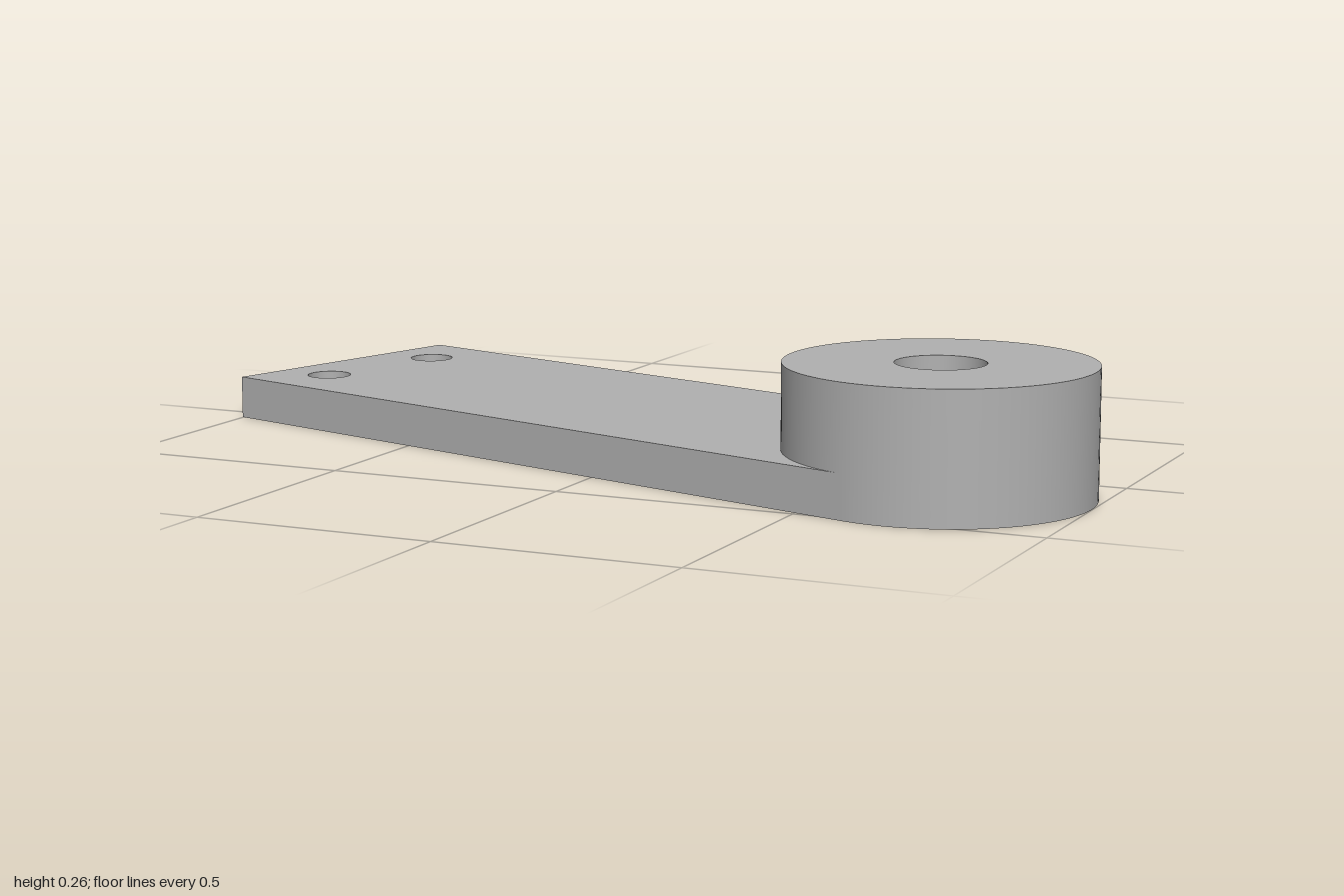
import * as THREE from 'three';
import { mergeGeometries } from 'three/addons/utils/BufferGeometryUtils.js';

const R = 0.307;       // boss radius, also half the arm width
const L = 1.675;       // boss centre to square end
const T = 0.09;        // arm thickness
const H = 0.262;       // boss height
const HOLE = 0.047, SINK = 0.107; // screw hole and countersink radii
const HOLE_X = -1.552, HOLE_Z = 0.159;

// Turned surface with a sharp edge at every profile point
function turned(profile, segments) {
  const bands = [];
  for (let i = 0; i < profile.length - 1; i++) {
    const pts = [profile[i], profile[i + 1]].map(([r, y]) => new THREE.Vector2(r, y));
    bands.push(new THREE.LatheGeometry(pts, segments));
  }
  return mergeGeometries(bands);
}

// Arm outline, cut away around the boss, with two round holes
function armFace(holeRadius) {
  const shape = new THREE.Shape();
  shape.moveTo(-L, -R);
  shape.lineTo(0, -R);
  shape.absarc(0, 0, R, -Math.PI / 2, -Math.PI * 1.5, true);
  shape.lineTo(-L, R);
  shape.closePath();
  for (const s of [-1, 1]) {
    const hole = new THREE.Path();
    hole.absarc(HOLE_X, s * HOLE_Z, holeRadius, 0, Math.PI * 2, true);
    shape.holes.push(hole);
  }
  return new THREE.ShapeGeometry(shape, 24);
}

export function createModel() {
  const group = new THREE.Group();
  const grey = new THREE.MeshStandardMaterial({ color: 0xb0b0b0 });
  grey.name = 'grey metal';

  const add = (name, geometry) => {
    const mesh = new THREE.Mesh(geometry, grey);
    mesh.name = name;
    group.add(mesh);
    return mesh;
  };

  // Flat arm: top, underside, two long sides and the square end
  add('arm', mergeGeometries([
    armFace(HOLE).rotateX(-Math.PI / 2).translate(0, T, 0),
    armFace(SINK).rotateX(Math.PI / 2),
    new THREE.PlaneGeometry(L, T).translate(-L / 2, T / 2, R),
    new THREE.PlaneGeometry(L, T).rotateY(Math.PI).translate(-L / 2, T / 2, -R),
    new THREE.PlaneGeometry(2 * R, T).rotateY(-Math.PI / 2).translate(-L, T / 2, 0),
  ]));

  // Countersunk screw holes, wide on the underside
  for (const s of [-1, 1]) {
    const wall = turned([[HOLE, T], [HOLE, 0.06], [SINK, 0]], 48);
    add('screwHole', wall).position.set(HOLE_X, 0, s * HOLE_Z);
  }

  // Round boss with a stepped bore
  add('boss', turned([
    [0.053, 0], [R, 0], [R, H], [0.09, H], [0.09, T], [0.053, T], [0.053, 0],
  ], 96));

  group.rotation.y = -THREE.MathUtils.degToRad(16.1);
  group.position.set(0.692, 0, 0.226);

  const model = new THREE.Group();
  model.name = 'pivotArm';
  model.add(group);
  return model;
}
